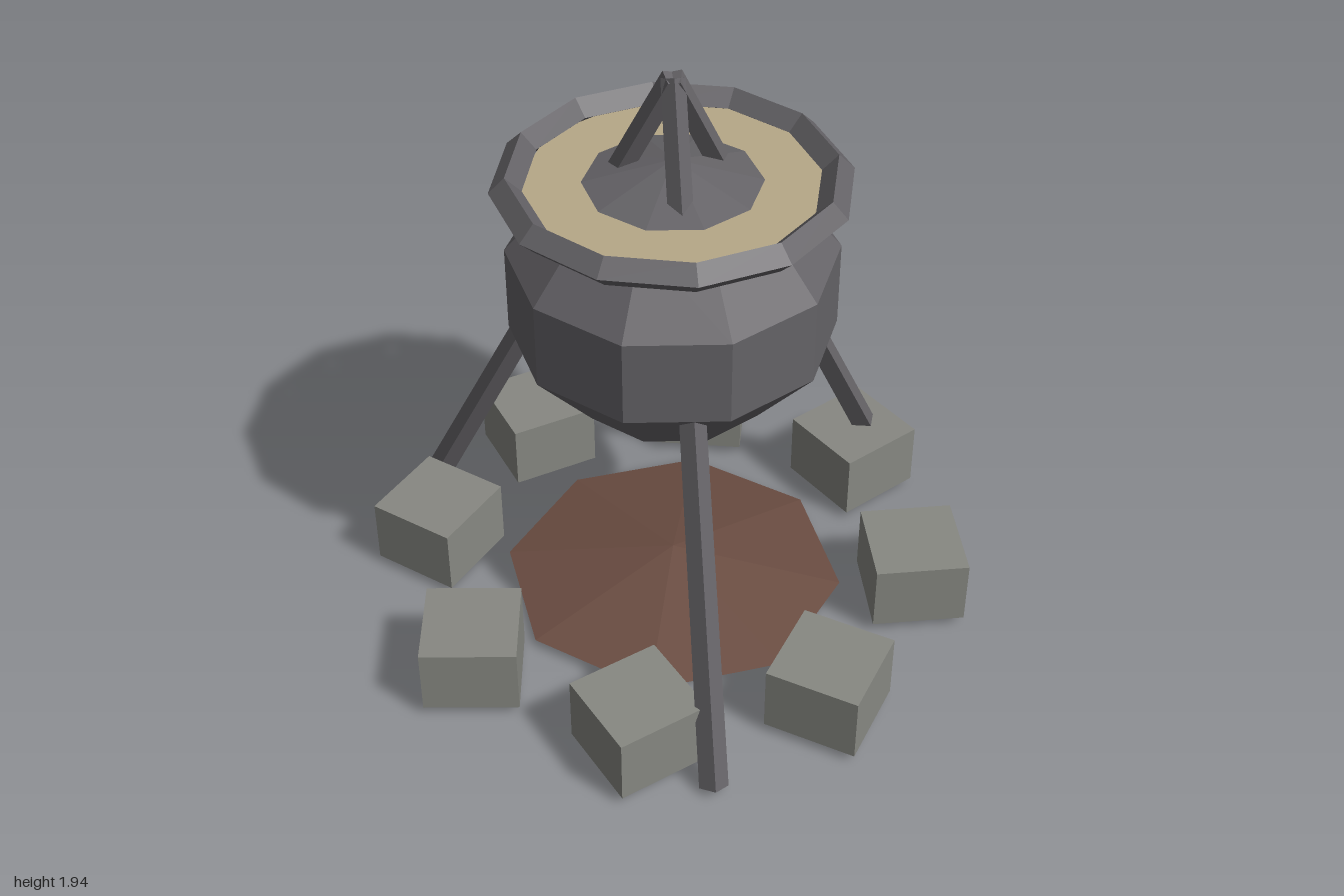
import * as THREE from 'three';

const makeMaterial = (name, color) =>
  new THREE.MeshStandardMaterial({ name, color, flatShading: true });

export function createModel() {
  const iron = makeMaterial('iron', 0x656367);
  const stone = makeMaterial('stone', 0x878882);
  const soup = makeMaterial('soup', 0xb6a888);
  const earth = makeMaterial('earth', 0x6a4c41);

  const model = new THREE.Group();
  model.name = 'cauldronOverFirePit';

  const add = (name, geometry, material, parent, x = 0, y = 0, z = 0) => {
    const mesh = new THREE.Mesh(geometry, material);
    mesh.name = name;
    mesh.position.set(x, y, z);
    parent.add(mesh);
    return mesh;
  };

  // Everything is arranged around one slightly offset vertical axis
  const centre = new THREE.Group();
  centre.name = 'cauldronSet';
  centre.position.set(0.003, 0, -0.016);
  model.add(centre);

  // Squashed faceted pot
  const pot = add('pot', new THREE.SphereGeometry(0.531, 10, 5), iron, centre, 0, 1.2, 0);
  pot.scale.y = 0.85;

  // Diamond-section rim
  const rim = new THREE.TorusGeometry(0.491, 0.049, 4, 12).rotateX(Math.PI / 2);
  add('rim', rim, iron, centre, 0, 1.578, 0);

  // Contents inside the rim
  const disc = new THREE.CylinderGeometry(0.458, 0.458, 0.042, 10).rotateY(Math.PI / 2);
  add('contents', disc, soup, centre, 0, 1.556, 0);

  // Three straight poles from a shared apex, passing through the pot
  const apexY = 1.92, footY = 0.021, spread = 0.955;
  const drop = apexY - footY;
  const pole = new THREE.CylinderGeometry(0.036, 0.045, Math.hypot(spread, drop), 4)
    .rotateZ(Math.atan2(spread, drop))
    .translate(spread / 2, (apexY + footY) / 2, 0);
  for (let i = 0; i < 3; i++) {
    add('tripodLeg', pole, iron, centre).rotation.y = (i * Math.PI * 2) / 3;
  }

  // Low mound of earth
  add('earthMound', new THREE.ConeGeometry(0.563, 0.1, 8), earth, centre, 0, 0.077, 0);

  // Ring of stones, each turned a little differently (degrees)
  const turns = [0, -31.5, 26.6, -5, -37, 21, -10.5, -43];
  const block = new THREE.BoxGeometry(0.302, 0.225, 0.302);
  turns.forEach((turn, i) => {
    const a = (i * Math.PI) / 4;
    const rock = add('hearthStone', block, stone, centre,
      0.797 * Math.cos(a), 0.141, 0.797 * Math.sin(a));
    rock.rotation.y = THREE.MathUtils.degToRad(turn);
  });

  return model;
}
